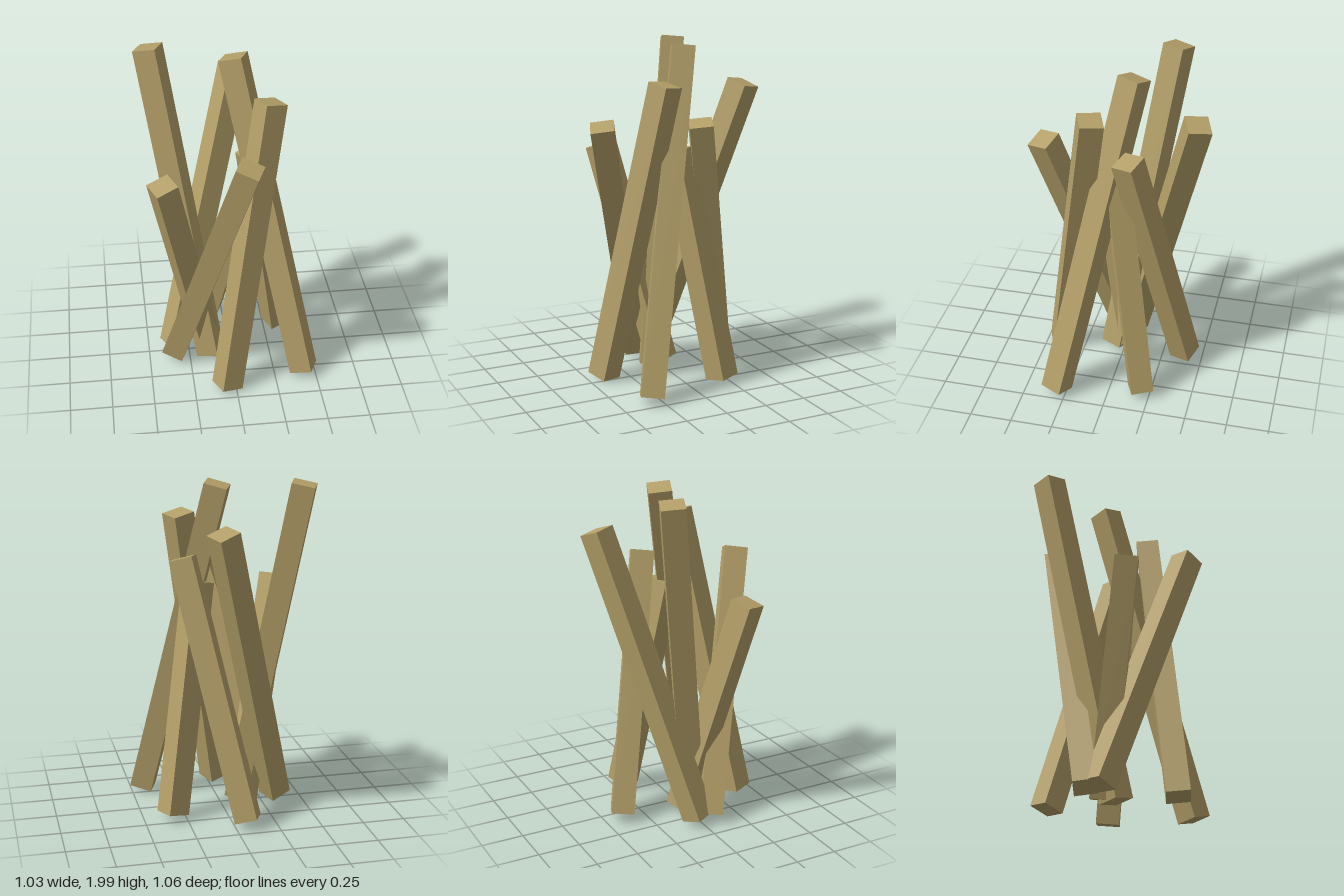
import * as THREE from 'three';

const THICKNESS = 0.135;
const UP = new THREE.Vector3(0, 1, 0);

// Each beam: centre of its foot, centre of its tip, and which way its square section is turned
const BEAMS = [
  { foot: [-0.12, 0.025, 0.06], tip: [-0.43, 1.98, -0.24], turn: -1 },
  { foot: [-0.34, 0.05, -0.02], tip: [0.085, 1.75, -0.45], turn: 1 },
  { foot: [0.427, 0.04, 0.307], tip: [0.035, 1.97, -0.08], turn: -1 },
  { foot: [-0.053, 0.025, 0.4], tip: [0.222, 1.78, 0.124], turn: 1 },
  { foot: [-0.34, 0.055, 0.06], tip: [0.068, 1.545, 0.443], turn: -1 },
  { foot: [-0.13, 0.04, -0.02], tip: [-0.4, 1.36, 0.254], turn: 1 },
  { foot: [-0.075, 0.05, -0.392], tip: [0.24, 1.555, -0.09], turn: -1 },
  { foot: [0.33, 0.045, -0.195], tip: [0.132, 1.395, 0.002], turn: 1 },
];

// Square beam running from foot to tip, end faces square to its length
function makeBeam({ foot, tip, turn }, material) {
  const a = new THREE.Vector3(...foot);
  const b = new THREE.Vector3(...tip);
  const axis = b.clone().sub(a);
  const mesh = new THREE.Mesh(new THREE.BoxGeometry(THICKNESS, axis.length(), THICKNESS), material);
  mesh.position.copy(a).add(b).multiplyScalar(0.5);
  const yaw = new THREE.Quaternion().setFromAxisAngle(UP, turn * Math.PI / 8);
  mesh.quaternion.setFromUnitVectors(UP, axis.normalize()).multiply(yaw);
  return mesh;
}

export function createModel() {
  const group = new THREE.Group();
  group.name = 'leaningBeams';
  const wood = new THREE.MeshStandardMaterial({ color: 0xb39f68, flatShading: true });
  BEAMS.forEach((spec, i) => {
    const beam = makeBeam(spec, wood);
    beam.name = `beam${i + 1}`;
    group.add(beam);
  });
  return group;
}
